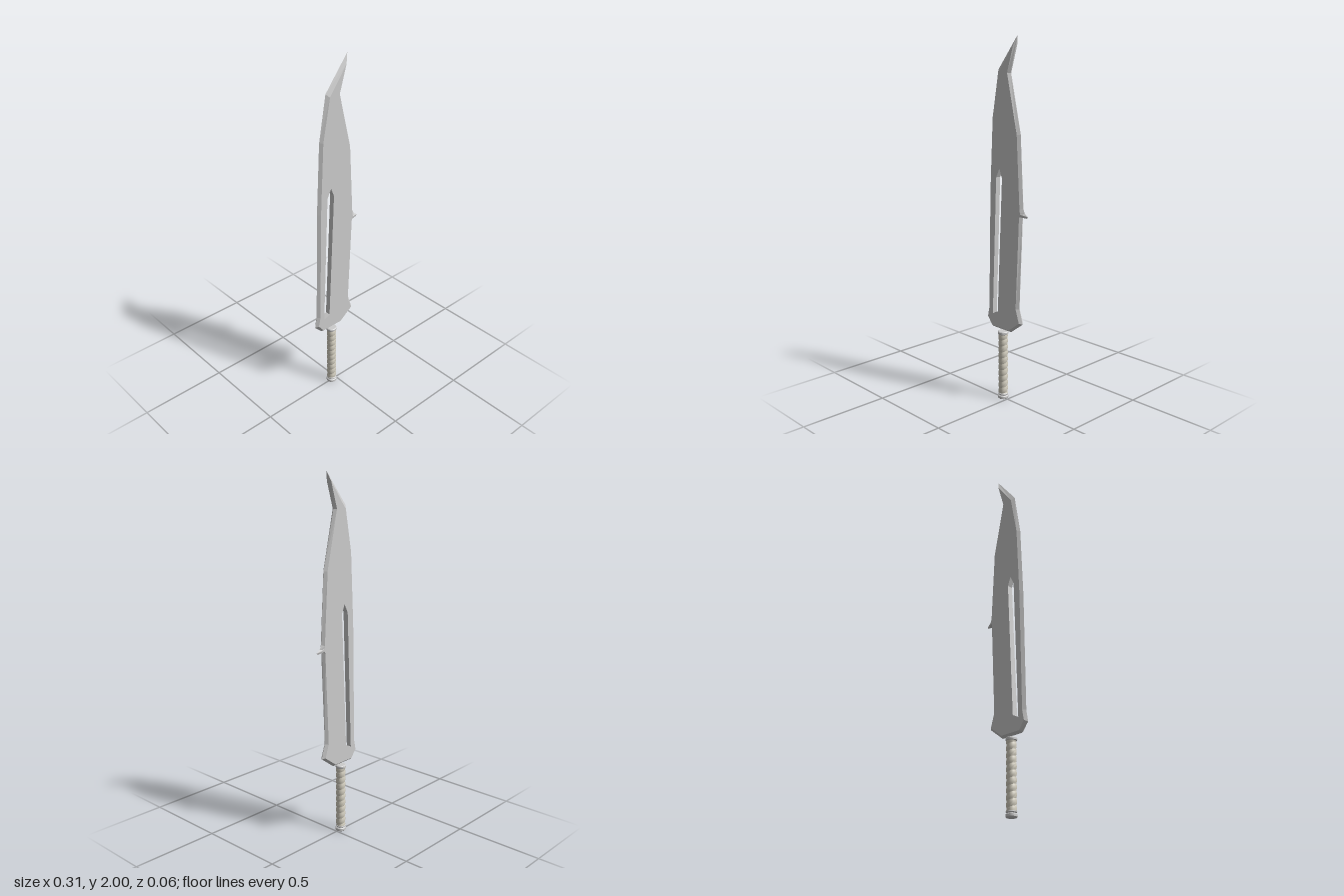
import * as THREE from 'three';
import { toCreasedNormals } from 'three/addons/utils/BufferGeometryUtils.js';

const HALF = 0.015; // half thickness of the blade

// Each row: sharp outer edge x, y, then the matching corner of the flat face x, y
const EDGE = [
  [0.075, 2.0, 0.057, 1.95],
  [0.025, 1.81, 0.014, 1.81],
  [0.1, 1.5, 0.085, 1.5],
  [0.12, 1.115, 0.107, 1.11],
  [0.132, 1.09, 0.11, 1.092],
  [0.155, 1.075, 0.112, 1.084],
  [0.147, 1.066, 0.111, 1.078],
  [0.114, 1.072, 0.104, 1.07],
  [0.095, 0.555, 0.08, 0.555],
  [0.12, 0.475, 0.105, 0.48],
  [0.03, 0.408, 0.025, 0.42],
  [-0.11, 0.408, -0.105, 0.42],
  [-0.155, 0.455, -0.14, 0.465],
  [-0.143, 0.52, -0.128, 0.52],
  [-0.13, 1.18, -0.115, 1.18],
  [-0.11, 1.58, -0.095, 1.58],
  [-0.066, 1.825, -0.05, 1.808],
];
const SLOT = [[-0.045, 1.31], [-0.07, 1.26], [-0.1, 0.49], [-0.06, 0.51], [-0.025, 1.26]];

// Slab with a slot; the middle ring of its rim is pushed out to a sharp edge
function bladeGeometry() {
  const shape = new THREE.Shape(EDGE.map((e) => new THREE.Vector2(e[2], e[3])));
  shape.holes.push(new THREE.Path(SLOT.map(([x, y]) => new THREE.Vector2(x, y))));
  const geo = new THREE.ExtrudeGeometry(shape, { depth: HALF * 2, steps: 2, bevelEnabled: false });
  geo.translate(0, 0, -HALF);
  const p = geo.attributes.position;
  for (let i = 0; i < p.count; i++) {
    if (Math.abs(p.getZ(i)) > HALF / 2) continue;
    const e = EDGE.find((c) => Math.hypot(c[2] - p.getX(i), c[3] - p.getY(i)) < 1e-4);
    if (e) p.setXYZ(i, e[0], e[1], 0);
  }
  geo.computeVertexNormals();
  return geo;
}

// Cylinder whose rows are sheared into a helix, with overlapping strap turns
function wrapGeometry(bottom, top) {
  const turns = 11, profile = [0.0235, 0.0265, 0.0265, 0.026];
  const rows = turns * profile.length;
  const pitch = (top - bottom) / (turns - 1);
  const geo = new THREE.CylinderGeometry(1, 1, 1, 16, rows, true);
  const p = geo.attributes.position, uv = geo.attributes.uv;
  for (let i = 0; i < p.count; i++) {
    const row = Math.round(uv.getY(i) * rows);
    const r = profile[row % profile.length];
    const y = bottom + pitch * (row / profile.length + uv.getX(i) - 1);
    p.setXYZ(i, p.getX(i) * r, THREE.MathUtils.clamp(y, bottom, top), p.getZ(i) * r);
  }
  return toCreasedNormals(geo, 0.6);
}

// Small collar turned from a profile, closed at both ends
function collarGeometry(y0, y1) {
  const pts = [[0, y0], [0.026, y0], [0.03, y0 + 0.004], [0.03, y1 - 0.004], [0.026, y1], [0, y1]];
  return toCreasedNormals(new THREE.LatheGeometry(pts.map(([x, y]) => new THREE.Vector2(x, y)), 16), 0.6);
}

export function createModel() {
  const grey = new THREE.MeshStandardMaterial({ color: 0xcccccc });
  const strap = new THREE.MeshStandardMaterial({ color: 0xd6d1c2, side: THREE.DoubleSide });
  const model = new THREE.Group();
  model.name = 'sword';
  const add = (parent, name, geo, mat) => {
    const mesh = new THREE.Mesh(geo, mat);
    mesh.name = name;
    parent.add(mesh);
  };

  add(model, 'blade', bladeGeometry(), grey);

  // Handle, set off centre under the blade
  const handle = new THREE.Group();
  handle.name = 'handle';
  handle.position.x = -0.033;
  model.add(handle);
  add(handle, 'pommel', collarGeometry(0, 0.02), grey);
  add(handle, 'pommelRing', collarGeometry(0.022, 0.034).scale(0.93, 1, 0.93), grey);
  add(handle, 'upperCollar', collarGeometry(0.382, 0.4), grey);
  add(handle, 'gripCore', new THREE.CylinderGeometry(0.023, 0.023, 0.37, 16).translate(0, 0.2, 0), grey);
  add(handle, 'gripWrap', wrapGeometry(0.03, 0.384), strap);
  return model;
}
